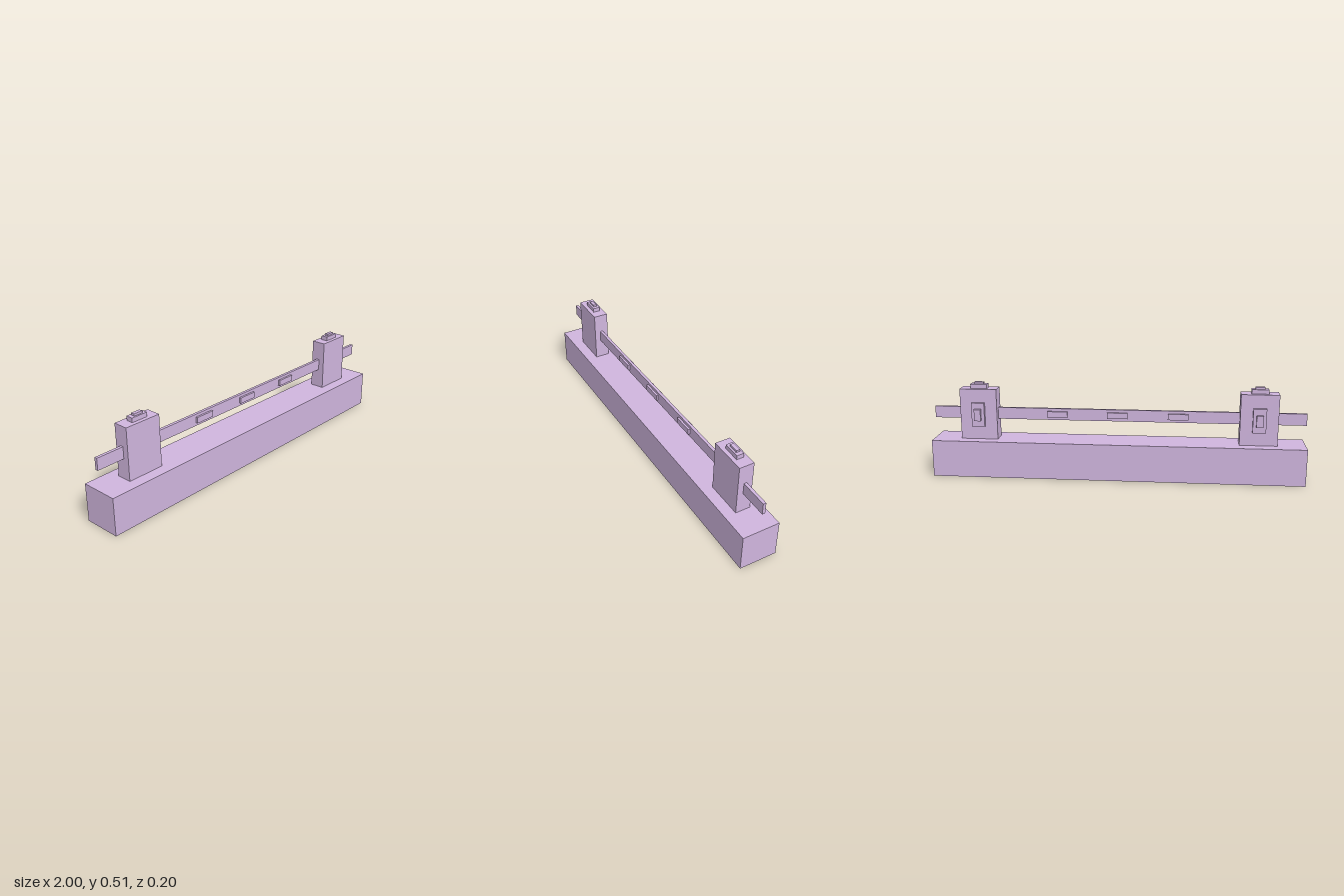
import * as THREE from 'three';

const material = new THREE.MeshStandardMaterial({ color: 0xcfb5dd, flatShading: true });

// Box given by its extents along each axis
function box(name, [x0, x1], [y0, y1], [z0, z1]) {
  const mesh = new THREE.Mesh(new THREE.BoxGeometry(x1 - x0, y1 - y0, z1 - z0), material);
  mesh.name = name;
  mesh.position.set((x0 + x1) / 2, (y0 + y1) / 2, (z0 + z1) / 2);
  return mesh;
}

// Upright post with a stepped cap and a stepped plate on its back
function createPost(name, x) {
  const post = new THREE.Group();
  post.name = name;
  post.position.x = x;
  post.add(
    box('postBody', [-0.1, 0.1], [0.2, 0.475], [-0.04, 0.04]),
    box('capBase', [-0.045, 0.045], [0.475, 0.498], [-0.019, 0.019]),
    box('capTop', [-0.025, 0.025], [0.498, 0.509], [-0.01, 0.01]),
    box('backPlate', [-0.035, 0.035], [0.273, 0.403], [-0.058, -0.04]),
    box('backKnob', [-0.0175, 0.0175], [0.307, 0.37], [-0.074, -0.058]),
  );
  return post;
}

export function createModel() {
  const model = new THREE.Group();
  model.name = 'barrier';

  model.add(box('base', [-1, 1], [0, 0.2], [-0.1, 0.1]));
  model.add(createPost('rightPost', -0.75), createPost('leftPost', 0.75));

  // Thin rail running through both posts
  model.add(box('rail', [-1, 1], [0.307, 0.37], [-0.008, 0.008]));

  // Blocks standing out on both faces of the rail
  for (const x of [-0.325, 0, 0.325]) {
    model.add(box('railBlock', [x - 0.055, x + 0.055], [0.323, 0.355], [-0.019, 0.019]));
  }
  return model;
}
